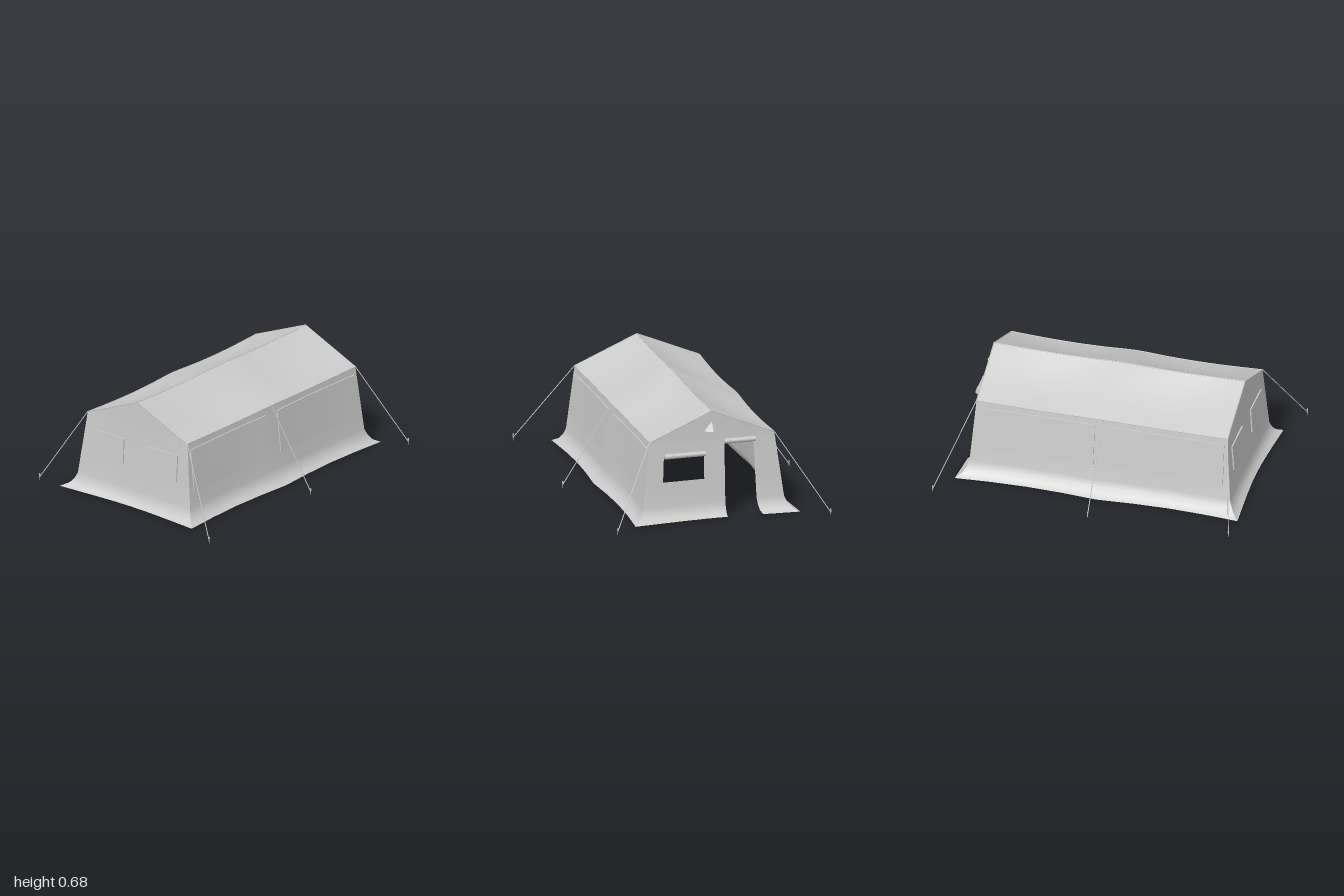
import * as THREE from 'three';

const HALF_W = 0.4, HALF_L = 0.8, EAVE = 0.51, RIDGE = 0.68;
const cloth = new THREE.MeshStandardMaterial({ color: 0xcccccc, side: THREE.DoubleSide });

// Outward flare of the walls by height: [y, sides, ends]
const FLARE = [[0.51, 0, 0], [0.1, 0.05, 0.03], [0.06, 0.066, 0.045], [0.03, 0.09, 0.065], [0.01, 0.128, 0.1]];
function flare(y, k) {
  if (y >= EAVE) return 0;
  for (let i = 1; i < FLARE.length; i++) {
    const a = FLARE[i - 1], b = FLARE[i];
    if (y >= b[0]) return a[k] + (b[k] - a[k]) * (a[0] - y) / (a[0] - b[0]);
  }
  return FLARE[FLARE.length - 1][k];
}
// Slack of the fabric between the three frames
const slack = v => Math.abs(Math.sin(Math.PI * v));
// The skirt spreads a little wider on the model's right
const spread = (side, y) => flare(y, 1) * (side > 0 ? 0.92 : 1.08);

const sideX = (side, y, v) => side * (HALF_W + spread(side, y) - slack(v) * (0.008 + 0.12 * flare(y, 1)));
const endZ = (end, y, u) => end * (HALF_L + flare(y, 2) * (1 - 0.3 * (1 - u * u)));

const steps = (a, b, n) => Array.from({ length: n + 1 }, (_, i) => a + (b - a) * i / n);

// Sheet through point(u, v), leaving out the cells for which skip is true
function sheet(us, vs, point, skip = () => false) {
  const pos = [], idx = [], n = us.length;
  for (const v of vs) for (const u of us) pos.push(...point(u, v));
  for (let j = 0; j < vs.length - 1; j++) {
    for (let i = 0; i < n - 1; i++) {
      if (skip((us[i] + us[i + 1]) / 2, (vs[j] + vs[j + 1]) / 2)) continue;
      const a = j * n + i, b = a + 1, c = a + n, d = c + 1;
      idx.push(a, c, b, b, c, d);
    }
  }
  const g = new THREE.BufferGeometry();
  g.setAttribute('position', new THREE.Float32BufferAttribute(pos, 3));
  g.setIndex(idx);
  g.computeVertexNormals();
  return g;
}

function bend(geometry, rule) {
  const p = geometry.attributes.position, v = new THREE.Vector3();
  for (let i = 0; i < p.count; i++) {
    rule(v.fromBufferAttribute(p, i));
    p.setXYZ(i, v.x, v.y, v.z);
  }
  geometry.computeVertexNormals();
  return geometry;
}

export function createModel() {
  const tent = new THREE.Group();
  tent.name = 'tent';
  const add = (name, geometry) => {
    const m = new THREE.Mesh(geometry, cloth);
    m.name = name;
    tent.add(m);
    return m;
  };
  const rod = (name, a, b, r, r2 = r, sides = 6) => {
    const A = new THREE.Vector3(...a), B = new THREE.Vector3(...b);
    const dir = B.clone().sub(A);
    const m = add(name, new THREE.CylinderGeometry(r2, r, dir.length(), sides));
    m.position.copy(A).add(B).multiplyScalar(0.5);
    m.quaternion.setFromUnitVectors(new THREE.Vector3(0, 1, 0), dir.normalize());
    return m;
  };

  // Roof slopes, sagging inside each of the two bays
  const lengths = steps(-1, 1, 8);
  const roofPoint = side => (u, v) => [
    u * sideX(side, EAVE, v),
    RIDGE - (RIDGE - EAVE) * u - 0.008 * slack(v) - 0.025 * Math.sin(Math.PI * u) * slack(v),
    v * (HALF_L + 0.003)
  ];
  for (const side of [-1, 1]) {
    add('roofSlope', sheet(steps(0, 1, 4), lengths, roofPoint(side)));
  }

  // Seams along the ridge, the eaves and the gable edges
  const seam = pts => add('roofSeam', new THREE.TubeGeometry(
    new THREE.CatmullRomCurve3(pts.map(p => new THREE.Vector3(...p))), 24, 0.003, 5));
  seam(lengths.map(v => roofPoint(1)(0, v)));
  for (const side of [-1, 1]) {
    seam(lengths.map(v => roofPoint(side)(1, v)));
    for (const end of [-1, 1]) {
      rod('gableSeam', [0, RIDGE, end * HALF_L], [side * HALF_W, EAVE, end * HALF_L], 0.003);
    }
  }

  // Side walls with flared skirt
  const heights = [EAVE, 0.38, 0.24, 0.1, 0.06, 0.03, 0.01];
  for (const side of [-1, 1]) {
    add('sideWall', sheet(lengths, heights, (v, y) => [
      sideX(side, y, v),
      y === EAVE ? y - 0.008 * slack(v) : y,
      v * (HALF_L + flare(y, 2))
    ]));

    // Two large window covers on each side
    for (const [z0, z1] of [[0.065, 0.78], [-0.78, -0.045]]) {
      const cover = new THREE.BoxGeometry(0.012, 0.265, z1 - z0, 1, 4, 8);
      add('sideWindowCover', bend(cover.toNonIndexed(), p => {
        p.y += 0.3325;
        p.z += (z0 + z1) / 2;
        if (p.y < 0.21) p.y -= 0.008 * slack(p.z / HALF_L);
        p.x += sideX(side, p.y, p.z / HALF_L) + side * 0.001;
      }));
    }
  }

  // Gable walls; the first row follows the roof line
  const endPoint = end => (u, y) => [
    u * HALF_W + u * u * u * spread(u, y),
    y === RIDGE ? EAVE + (RIDGE - EAVE) * (1 - Math.abs(u)) : y,
    endZ(end, y, u)
  ];
  add('frontWall', sheet(steps(-1, 1, 8), [RIDGE, ...heights], endPoint(1)));

  // Back wall with a doorway and an open window
  const isDoor = (u, y) => u > -0.66 && u < -0.2 && y < 0.48;
  const isWindow = (u, y) => u > 0.13 && u < 0.76 && y > 0.25 && y < 0.41;
  add('backWall', sheet(
    [-1, -0.83, -0.66, -0.2, 0, 0.13, 0.45, 0.76, 1],
    [RIDGE, EAVE, 0.48, 0.41, 0.25, 0.1, 0.06, 0.03, 0.01],
    endPoint(-1), (u, y) => isDoor(u, y) || isWindow(u, y)));

  // Front window covers
  for (const x of [-0.22, 0.21]) {
    add('frontWindowCover', bend(new THREE.BoxGeometry(0.24, 0.165, 0.012, 4, 2, 1).toNonIndexed(), p => {
      p.x += x;
      p.y += 0.3325;
      p.z += endZ(1, p.y, p.x / HALF_W) + 0.002;
    }));
  }

  // Rolled-up flaps over the doorway and the back window
  for (const [name, x0, x1, y] of [['doorRoll', -0.27, -0.07, 0.485], ['windowRoll', 0.05, 0.31, 0.418]]) {
    rod(name, [x0, y, -0.828], [x1, y, -0.828], 0.016, 0.016, 10);
    for (const t of [0.2, 0.8]) {
      const strap = add('rollStrap', new THREE.TorusGeometry(0.0165, 0.002, 4, 10));
      strap.position.set(x0 + (x1 - x0) * t, y, -0.828);
      strap.rotation.y = Math.PI / 2;
    }
  }

  // Small hooded vent under the back ridge
  const hood = [[-0.05, 0.55, -0.801], [0, 0.61, -0.801], [0, 0.555, -0.842], [0.05, 0.55, -0.801]];
  const vent = new THREE.BufferGeometry();
  vent.setAttribute('position', new THREE.Float32BufferAttribute(
    [0, 1, 2, 2, 1, 3].flatMap(i => hood[i]), 3));
  vent.computeVertexNormals();
  add('ventHood', vent);

  // Guy ropes and pegs: [eave side, eave z, peg x, peg z]
  const guys = [
    [-1, -0.8, -0.705, -0.995], [1, -0.8, 0.66, -0.995], [-1, 0, -0.735, 0],
    [1, 0, 0.715, 0], [-1, 0.8, -0.71, 0.89], [1, 0.8, 0.735, 0.992]
  ];
  for (const [side, z, px, pz] of guys) {
    rod('guyRope', [side * HALF_W, EAVE, z], [px, 0.02, pz], 0.003, 0.003, 5);
    rod('peg', [px, 0, pz], [px, 0.042, pz], 0.001, 0.005, 5);
  }

  return tent;
}
